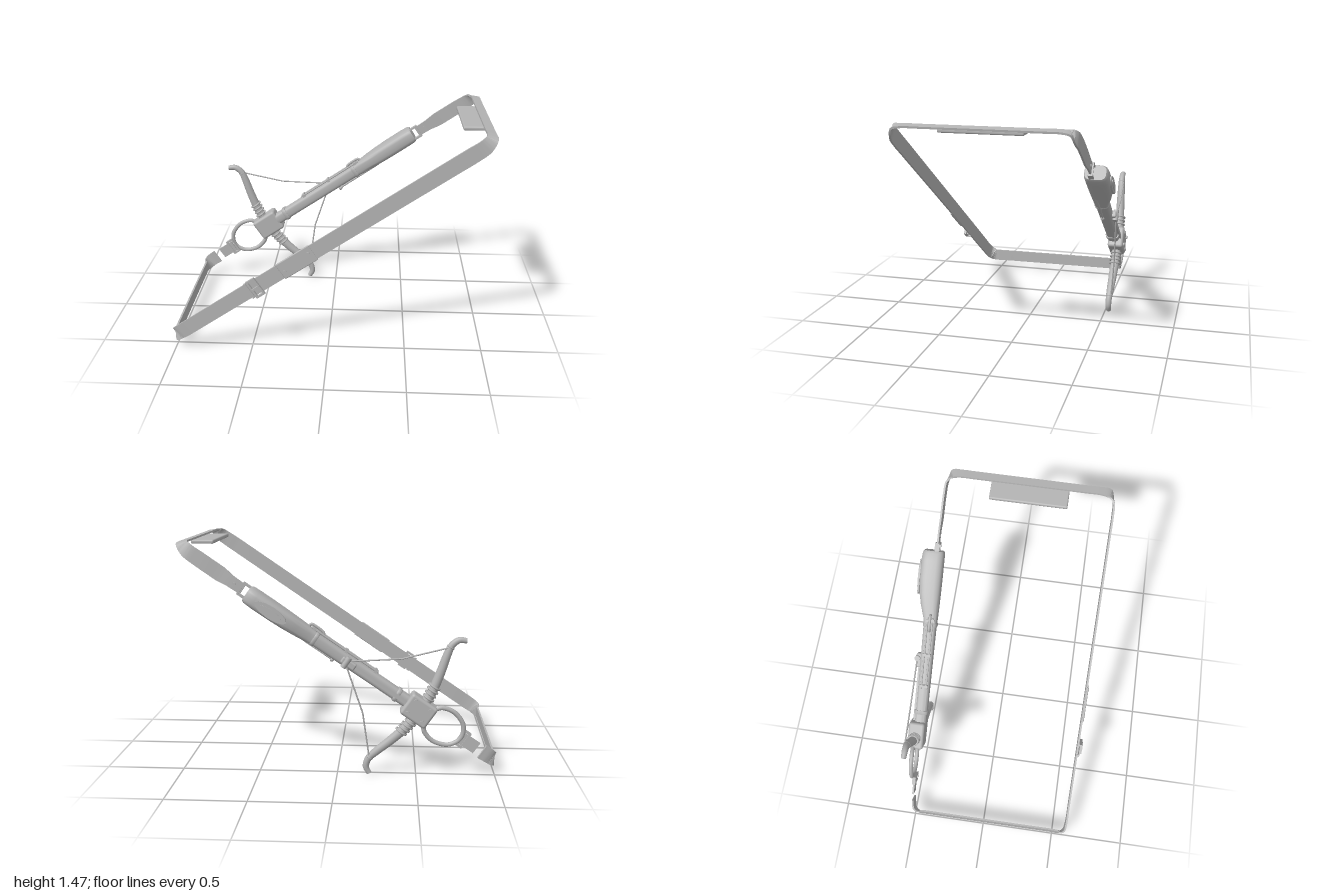
import * as THREE from 'three';
import { toCreasedNormals } from 'three/addons/utils/BufferGeometryUtils.js';
import { RoundedBoxGeometry } from 'three/addons/geometries/RoundedBoxGeometry.js';

const V = (x, y, z) => new THREE.Vector3(x, y, z);
const grey = new THREE.MeshStandardMaterial({ color: 0xb4b4b4 });
grey.name = 'lightGrey';

function add(parent, name, geometry, x = 0, y = 0, z = 0) {
  const mesh = new THREE.Mesh(geometry, grey);
  mesh.name = name;
  mesh.position.set(x, y, z);
  parent.add(mesh);
  return mesh;
}

// Skin over rings of points that run counter-clockwise about the path
function loft(rings, crease = 0.7) {
  const n = rings[0].length, index = [];
  for (let i = 0; i < rings.length - 1; i++) {
    for (let j = 0; j < n; j++) {
      const a = i * n + j, b = i * n + (j + 1) % n;
      index.push(a, b, b + n, a, b + n, a + n);
    }
  }
  const last = (rings.length - 1) * n;
  for (let j = 1; j < n - 1; j++) index.push(0, j + 1, j, last, last + j, last + j + 1);
  const g = new THREE.BufferGeometry().setFromPoints(rings.flat());
  g.setIndex(index);
  return toCreasedNormals(g, crease);
}

// Flat band along a path; each row is x, y, z, width direction, half width
function ribbon(rows, steps = 8) {
  const path = new THREE.CatmullRomCurve3(rows.map(r => V(r[0], r[1], r[2])));
  const rings = [], count = (rows.length - 1) * steps;
  for (let i = 0; i <= count; i++) {
    const t = i / count, k = Math.min(Math.floor(i / steps), rows.length - 2), f = i / steps - k;
    const p = path.getPoint(t), tan = path.getTangent(t);
    const w = rows[k][3].clone().lerp(rows[k + 1][3], f);
    w.addScaledVector(tan, -w.dot(tan)).normalize();
    const thick = tan.clone().cross(w).multiplyScalar(0.006);
    w.multiplyScalar(rows[k][4] * (1 - f) + rows[k + 1][4] * f);
    rings.push([[1, 1], [-1, 1], [-1, -1], [1, -1]].map(([a, b]) =>
      p.clone().addScaledVector(w, a).addScaledVector(thick, b)));
  }
  return loft(rings);
}

// Round limb with changing radius, bent in the bow's plane
function taperedTube(points, radii, steps = 24, sides = 14) {
  const path = new THREE.CatmullRomCurve3(points), rings = [];
  for (let i = 0; i <= steps; i++) {
    const t = i / steps, p = path.getPoint(t), tan = path.getTangent(t);
    const side = V(0, 0, 1).cross(tan).normalize();
    const s = t * (radii.length - 1), k = Math.min(Math.floor(s), radii.length - 2);
    const r = THREE.MathUtils.lerp(radii[k], radii[k + 1], s - k);
    rings.push(Array.from({ length: sides }, (_, j) => {
      const a = j / sides * Math.PI * 2;
      return p.clone().addScaledVector(side, r * Math.cos(a)).add(V(0, 0, r * Math.sin(a)));
    }));
  }
  return loft(rings);
}

// Rounded-rectangle body along x; rows are x, half height, back z, front z
function body(rows, sides = 28) {
  const round = c => Math.sign(c) * Math.abs(c) ** 0.6;
  return loft(rows.map(([x, h, z0, z1]) => Array.from({ length: sides }, (_, j) => {
    const a = j / sides * Math.PI * 2;
    return V(x, h * round(Math.cos(a)), (z0 + z1) / 2 + (z1 - z0) / 2 * round(Math.sin(a)));
  })));
}

// Zero tension gives straight runs between the points
const tube = (points, r, tension = 0.5) =>
  new THREE.TubeGeometry(new THREE.CatmullRomCurve3(points, false, 'catmullrom', tension), 40, r, 8);

// Rectangular frame with an opening
function frame(w, h, bar, depth) {
  const rect = (s, a, b) => s.moveTo(-a, -b).lineTo(a, -b).lineTo(a, b).lineTo(-a, b).closePath();
  const shape = rect(new THREE.Shape(), w / 2, h / 2);
  shape.holes.push(rect(new THREE.Path(), w / 2 - bar, h / 2 - bar));
  return new THREE.ExtrudeGeometry(shape, { depth, bevelEnabled: false });
}

const stud = (r, h) => new THREE.CylinderGeometry(r, r, h, 12).rotateX(Math.PI / 2);

export function createModel() {
  const model = new THREE.Group();
  model.name = 'slungCrossbow';

  // Carrying strap, twisting flat where it crosses the shoulder
  const slope = 0.683, tilt = Math.atan(slope);
  const across = V(-Math.sin(tilt), Math.cos(tilt), 0), up = V(0, 1, 0), flat = V(-1, 0.15, 0);
  const line = x => 0.44 + slope * (x + 0.51);
  const at = (x, z, w = across, h = 0.05) => [x, line(x), z, w, h];
  add(model, 'strap', ribbon([
    at(-0.915, -0.51), at(-0.965, -0.5, across, 0.047), [-0.993, 0.1, -0.465, up, 0.042],
    [-0.994, 0.1, -0.4, up, 0.042], [-0.994, 0.1, 0.48, up, 0.042], [-0.993, 0.1, 0.55, up, 0.042],
    at(-0.97, 0.582, across, 0.047), at(-0.93, 0.589), at(-0.8, 0.589), at(0.75, 0.589), at(0.85, 0.589),
    [0.925, 1.421, 0.582, across, 0.047], [0.962, 1.458, 0.55, flat, 0.036],
    [0.967, 1.466, 0.49, flat, 0.029], [0.967, 1.466, 0.4, flat, 0.029], [0.967, 1.466, -0.32, flat, 0.029],
    [0.967, 1.466, -0.41, flat, 0.029], [0.962, 1.458, -0.465, flat, 0.036],
    [0.925, 1.421, -0.497, across, 0.045], at(0.85, -0.506, across, 0.048),
    at(0.72, -0.51, across, 0.048), at(0.66, -0.514, across, 0.038), at(0.58, -0.516, across, 0.034),
  ]));
  add(model, 'shoulderPad', new RoundedBoxGeometry(0.15, 0.026, 0.505, 2, 0.01), 0.895, 1.446, 0.042);

  // Everything else lies along the tilted axis of the strap
  const bow = new THREE.Group();
  bow.name = 'crossbow';
  bow.position.set(-0.51, 0.44, 0);
  bow.rotation.z = tilt;
  model.add(bow);

  // Strap fittings
  add(bow, 'strapPlate', new RoundedBoxGeometry(0.25, 0.115, 0.014, 2, 0.006), 0.387, 0, 0.594);
  for (const s of [-1, 1]) add(bow, 'plateRivet', stud(0.011, 0.008), 0.387 + s * 0.097, s * 0.012, 0.602);
  add(bow, 'buckleFrame', frame(0.065, 0.13, 0.013, 0.018), 0.07, 0, 0.6);
  add(bow, 'bucklePin', new THREE.BoxGeometry(0.06, 0.012, 0.012), 0.07, 0, 0.617);
  add(bow, 'strapKeeper', new THREE.BoxGeometry(0.018, 0.112, 0.02), 0.02, 0, 0.596);

  // Stock and butt
  add(bow, 'stock', body([
    [0.06, 0.04, -0.555, -0.475], [0.3, 0.04, -0.555, -0.475], [0.78, 0.043, -0.56, -0.473],
    [0.83, 0.047, -0.566, -0.47], [0.92, 0.052, -0.592, -0.468], [1.0, 0.055, -0.608, -0.467],
    [1.1, 0.057, -0.615, -0.466], [1.22, 0.057, -0.615, -0.466], [1.27, 0.055, -0.61, -0.466],
    [1.285, 0.048, -0.6, -0.472],
  ]));
  for (const x of [0.165, 0.785]) {
    add(bow, 'stockCollar', body([
      [x - 0.014, 0.043, -0.561, -0.47], [x - 0.009, 0.047, -0.564, -0.467],
      [x + 0.009, 0.047, -0.564, -0.467], [x + 0.014, 0.043, -0.561, -0.47]]));
  }
  const oval = (a, b) => stud(1, 0.012).scale(a, b, 1);
  add(bow, 'cheekPlate', oval(0.115, 0.038), 1.1, 0, -0.617);
  add(bow, 'cheekInlay', oval(0.075, 0.02), 1.1, 0, -0.622);

  // Head block with bolts
  add(bow, 'headBlock', new RoundedBoxGeometry(0.19, 0.155, 0.11, 3, 0.018), 0, 0, -0.53);
  for (const sx of [-1, 1]) for (const sy of [-1, 1]) {
    add(bow, 'headBolt', stud(0.013, 0.016), sx * 0.055, sy * 0.045, -0.586);
  }

  // Limbs, binding rings and string, mirrored
  for (const s of [-1, 1]) {
    add(bow, 'limb', taperedTube([
      V(-0.01, s * 0.06, -0.532), V(0, s * 0.15, -0.532), V(0.027, s * 0.27, -0.53),
      V(0.058, s * 0.38, -0.528), V(0.071, s * 0.45, -0.526), V(0.053, s * 0.503, -0.525),
      V(0.012, s * 0.527, -0.525)], [0.032, 0.031, 0.029, 0.026, 0.022, 0.02, 0.017]));
    for (let i = 0; i < 4; i++) {
      add(bow, 'limbRing', new THREE.TorusGeometry(0.035, 0.007, 8, 20).rotateX(Math.PI / 2),
        -0.006 + i * 0.004, s * (0.098 + i * 0.027), -0.532);
    }
    add(bow, 'bowString', tube([V(0.075, s * 0.435, -0.54), V(0.277, s * 0.212, -0.562),
      V(0.53, s * 0.02, -0.58)], 0.005, 0));
    add(bow, 'stringLoop', new THREE.TorusGeometry(0.02, 0.005, 8, 16).rotateX(Math.PI / 2),
      0.07, s * 0.438, -0.527);
  }

  // Foot stirrup
  const half = [[-0.08, 0.06], [-0.115, 0.098], [-0.19, 0.115], [-0.27, 0.09], [-0.31, 0.045]];
  add(bow, 'stirrup', tube([
    ...half.map(([x, y]) => V(x, y, -0.545 - x * 0.04)), V(-0.322, 0, -0.532),
    ...half.reverse().map(([x, y]) => V(x, -y, -0.545 - x * 0.04))], 0.015));

  // Bolt groove, nut and latch on the back
  add(bow, 'boltRail', new THREE.BoxGeometry(0.44, 0.026, 0.014), 0.31, 0, -0.561);
  add(bow, 'latch', new RoundedBoxGeometry(0.1, 0.045, 0.035, 2, 0.01), 0.53, 0, -0.567);
  add(bow, 'stringNut', new THREE.CylinderGeometry(0.019, 0.019, 0.075, 16), 0.545, 0, -0.577);

  // Side rods with clamps, sight, and release lever
  for (const z of [-0.497, -0.53]) {
    add(bow, 'sideRod', new THREE.CylinderGeometry(0.006, 0.006, 0.5, 8).rotateZ(Math.PI / 2), 0.59, 0.05, z);
  }
  for (const x of [0.36, 0.58, 0.82]) {
    add(bow, 'rodClamp', new THREE.BoxGeometry(0.018, 0.022, 0.055), x, 0.048, -0.513);
  }
  add(bow, 'sightBlock', tube([V(0.745, 0.045, -0.513), V(0.77, 0.064, -0.513),
    V(0.845, 0.066, -0.513), V(0.86, 0.045, -0.513)], 0.009));
  add(bow, 'releaseLever', tube([V(0.98, -0.04, -0.505), V(0.95, -0.048, -0.505),
    V(0.8, -0.05, -0.507), V(0.66, -0.05, -0.505), V(0.625, -0.053, -0.503)], 0.007));
  add(bow, 'leverEnd', new THREE.SphereGeometry(0.013, 12, 8), 0.622, -0.054, -0.503);

  // Swivels holding the strap, and the loose lower tab
  add(bow, 'buttSwivel', frame(0.07, 0.09, 0.012, 0.03), 1.305, 0, -0.531);
  add(bow, 'swivelRivet', stud(0.01, 0.02), 1.385, 0, -0.516);
  add(bow, 'lowerSwivel', frame(0.055, 0.115, 0.012, 0.024), -0.34, 0, -0.527);
  add(bow, 'lowerTab', new THREE.BoxGeometry(0.115, 0.08, 0.012), -0.39, 0, -0.515);
  return model;
}
